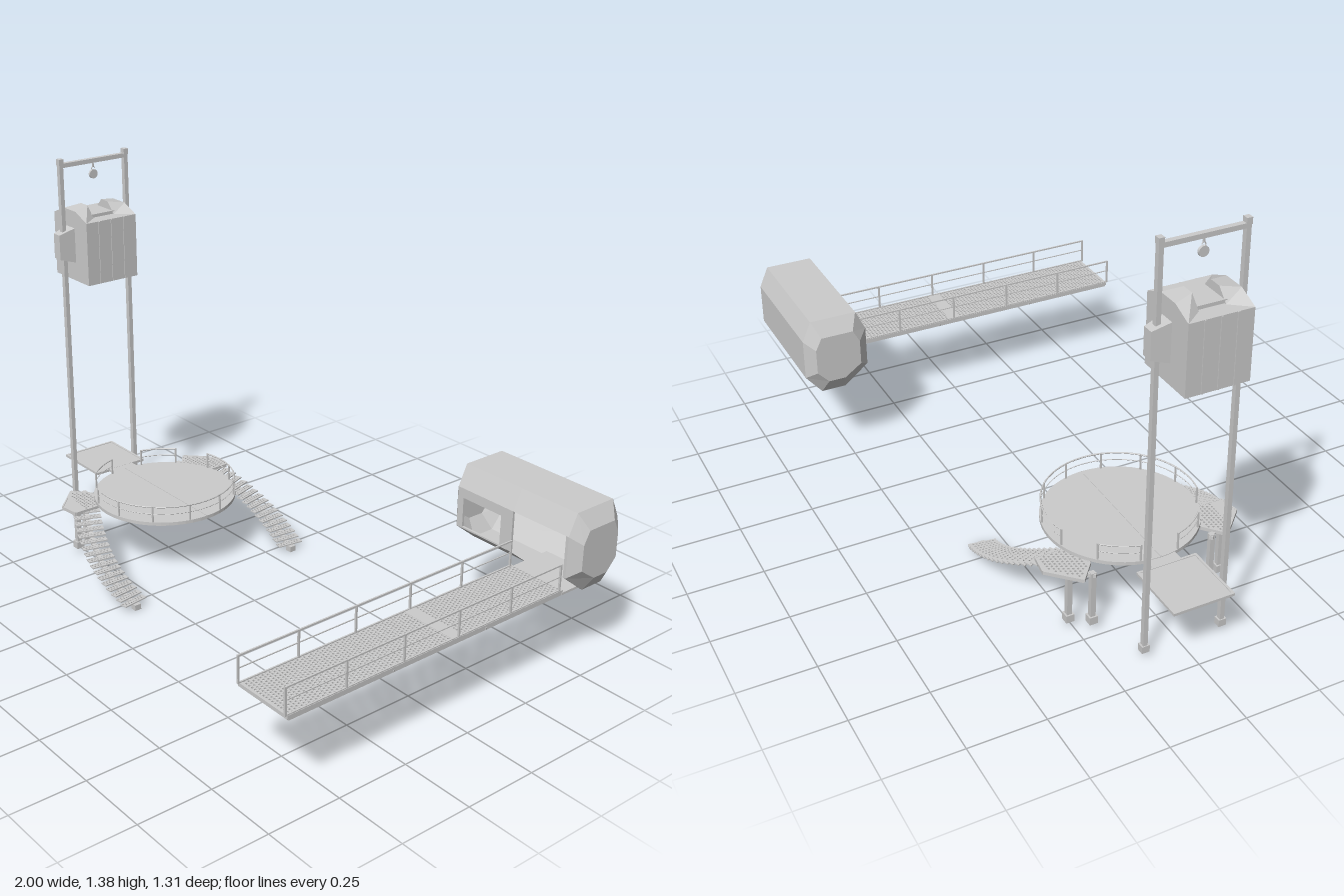
import * as THREE from 'three';

const mat = new THREE.MeshStandardMaterial({ color: 0xcccccc, flatShading: true, side: THREE.DoubleSide });
const V = (x, y, z) => new THREE.Vector3(x, y, z);
const CZ = 0.007; // mirror plane of the lift and round deck

function add(parent, name, geo, x = 0, y = 0, z = 0) {
  const m = new THREE.Mesh(geo, mat);
  m.name = name;
  m.position.set(x, y, z);
  parent.add(m);
  return m;
}
const box = (p, name, w, h, d, x, y, z) => add(p, name, new THREE.BoxGeometry(w, h, d), x, y, z);

// Square bar between two points
function bar(p, name, a, b, t, h = t) {
  const m = box(p, name, t, h, a.distanceTo(b), 0, 0, 0);
  m.position.copy(a).add(b).multiplyScalar(0.5);
  m.lookAt(b);
  return m;
}
function group(parent, name) {
  const g = new THREE.Group();
  g.name = name;
  parent.add(g);
  return g;
}

// Horizontal perforated sheet from a convex outline of [x, z] points
function perforated(pts, pitch, hole, thick) {
  const shape = new THREE.Shape(pts.map(([x, z]) => new THREE.Vector2(x, z)));
  const xs = pts.map(p => p[0]), zs = pts.map(p => p[1]);
  const sign = THREE.ShapeUtils.area(shape.getPoints()) > 0 ? 1 : -1;
  const inside = (x, z) => pts.every(([ax, az], i) => {
    const [bx, bz] = pts[(i + 1) % pts.length];
    const cross = (bx - ax) * (z - az) - (bz - az) * (x - ax);
    return sign * cross / Math.hypot(bx - ax, bz - az) > pitch * 0.55;
  });
  const h = hole / 2;
  let row = 0;
  for (let z = Math.min(...zs) + pitch * 0.6; z < Math.max(...zs); z += pitch, row++)
    for (let x = Math.min(...xs) + pitch * (row % 2 ? 1.1 : 0.6); x < Math.max(...xs); x += pitch)
      if (inside(x, z)) shape.holes.push(new THREE.Path([
        new THREE.Vector2(x - h, z - h), new THREE.Vector2(x - h, z + h),
        new THREE.Vector2(x + h, z + h), new THREE.Vector2(x + h, z - h)]));
  return new THREE.ExtrudeGeometry(shape, { depth: thick, bevelEnabled: false }).rotateX(Math.PI / 2);
}
const rect = (x0, x1, z0, z1) => [[x0, z0], [x1, z0], [x1, z1], [x0, z1]];

function makeLift(root) {
  const g = group(root, 'liftTower');
  g.position.set(-0.893, 0, CZ);
  for (const s of [-1, 1]) {
    box(g, 'post', 0.017, 1.355, 0.015, 0, 0.6975, s * 0.133);
    box(g, 'postFoot', 0.024, 0.024, 0.026, 0, 0.032, s * 0.133);
    box(g, 'postCap', 0.02, 0.02, 0.018, 0, 1.365, s * 0.133);
  }
  box(g, 'crossbeam', 0.017, 0.015, 0.26, 0, 1.352, 0);
  // Hook and pulley
  box(g, 'hookLink', 0.005, 0.018, 0.005, 0, 1.338, 0);
  add(g, 'hook', new THREE.TorusGeometry(0.006, 0.0018, 6, 12, 4.5).rotateY(Math.PI / 2), 0, 1.324, 0);
  add(g, 'pulley', new THREE.CylinderGeometry(0.016, 0.016, 0.008, 20).rotateZ(Math.PI / 2), 0, 1.304, 0);

  // Cabin with door strips, roof ridges and guide shoes
  const c = group(g, 'liftCabin');
  box(c, 'cabinBody', 0.208, 0.224, 0.204, 0, 1.052, 0);
  box(c, 'roofPlate', 0.1, 0.012, 0.1, 0, 1.169, 0);
  for (const z of [-0.051, 0, 0.051]) {
    box(c, 'doorStrip', 0.006, 0.222, 0.005, 0.104, 1.052, z);
    box(c, 'doorStrip', 0.006, 0.222, 0.005, -0.104, 1.052, z);
  }
  for (const s of [-1, 1]) {
    const ridge = new THREE.Shape([[-0.104, 0], [-0.037, 0.028], [0.037, 0.028], [0.104, 0]].map(p => new THREE.Vector2(...p)));
    const geo = new THREE.ExtrudeGeometry(ridge, { depth: 0.06, bevelEnabled: false });
    const p = geo.attributes.position;
    for (let i = 0; i < p.count; i++) { // inner end is higher and narrower
      const inner = s > 0 ? p.getZ(i) < 0.03 : p.getZ(i) > 0.03;
      if (inner) { p.setX(i, p.getX(i) * 0.55); if (p.getY(i) > 0.01) p.setY(i, 0.038); }
    }
    geo.computeVertexNormals();
    add(c, 'roofRidge', geo, 0, 1.164, s > 0 ? 0.042 : -0.102);
    const shoe = new THREE.CylinderGeometry(0.044 * Math.SQRT2, 0.062 * Math.SQRT2, 0.058, 4, 1)
      .rotateY(Math.PI / 4).rotateX(s * Math.PI / 2).scale(0.42, 1, 1);
    add(c, 'guideShoe', shoe, 0, 1.069, s * 0.131);
  }

  // Lower landing plate with its frame and bridge
  box(g, 'landingPlate', 0.2, 0.005, 0.19, 0, 0.219, 0);
  for (const s of [-1, 1]) {
    box(g, 'landingFrame', 0.213, 0.009, 0.008, 0, 0.219, s * 0.099);
    box(g, 'landingFrame', 0.008, 0.009, 0.2, s * 0.103, 0.219, 0);
  }
  box(g, 'bridgePlate', 0.06, 0.008, 0.1, 0.13, 0.219, 0);
}

function makeDeck(root) {
  const g = group(root, 'roundDeck');
  g.position.set(-0.505, 0, CZ);
  add(g, 'deckPlate', new THREE.CylinderGeometry(0.252, 0.252, 0.012, 56), 0, 0.219, 0);
  box(g, 'deckSeam', 0.5, 0.003, 0.004, 0, 0.225, 0);
  // Railings: one long arc and two short ones, posts every 30 degrees
  const R = 0.248, rad = THREE.MathUtils.degToRad;
  for (const [from, to] of [[-105, 105], [135, 165], [195, 225]]) {
    for (const y of [0.281, 0.255])
      add(g, 'handrail', new THREE.TorusGeometry(R, y > 0.27 ? 0.0028 : 0.0016, 6, Math.ceil((to - from) / 5), rad(to - from))
        .rotateZ(rad(from)).rotateX(Math.PI / 2), 0, y, 0);
    for (let a = from; a <= to; a += 30)
      box(g, 'railPost', 0.005, 0.06, 0.005, R * Math.cos(rad(a)), 0.253, R * Math.sin(rad(a)));
  }
}

function makeStair(root, s) {
  const g = group(root, s > 0 ? 'frontStair' : 'backStair');
  const P = (x, y, z) => V(x, y, CZ + s * z);
  // Landing with two legs
  const outline = [[-0.735, 0.25], [-0.645, 0.34], [-0.575, 0.33], [-0.575, 0.235], [-0.67, 0.195]];
  add(g, 'landing', perforated(outline.map(([x, z]) => [x, CZ + s * z]), 0.013, 0.007, 0.006), 0, 0.213, 0);
  outline.forEach(([x, z], i) => {
    const [bx, bz] = outline[(i + 1) % outline.length];
    bar(g, 'landingEdge', P(x, 0.208, z), P(bx, 0.208, bz), 0.005, 0.012);
  });
  for (const [x, z] of [[-0.71, 0.208], [-0.67, 0.267]]) {
    bar(g, 'leg', P(x, 0.02, z), P(x, 0.208, z), 0.017);
    const f = P(x, 0.034, z);
    box(g, 'legFoot', 0.028, 0.026, 0.028, f.x, f.y, f.z);
  }
  bar(g, 'legBrace', P(-0.72, 0.2, 0.2), P(-0.62, 0.2, 0.31), 0.012);
  // Curved centre spine carrying the perforated treads
  const path = new THREE.CatmullRomCurve3([
    P(-0.59, 0.198, 0.28), P(-0.49, 0.143, 0.322), P(-0.39, 0.092, 0.346), P(-0.29, 0.045, 0.349), P(-0.205, 0.008, 0.338)]);
  const steps = 17, pts = path.getSpacedPoints(steps);
  const tread = perforated(rect(-0.047, 0.047, -0.013, 0.013), 0.011, 0.006, 0.004);
  for (let i = 0; i < steps; i++) {
    const a = pts[i], b = pts[i + 1];
    bar(g, 'spine', a, b, 0.016, 0.013);
    const heading = Math.atan2(b.x - a.x, b.z - a.z);
    const mid = a.clone().add(b).multiplyScalar(0.5);
    add(g, 'tread', tread, mid.x, mid.y + 0.013, mid.z).rotation.y = heading;
    box(g, 'treadBracket', 0.016, 0.014, 0.014, mid.x, mid.y + 0.004, mid.z).rotation.y = heading;
  }
  const e = pts[steps];
  box(g, 'spineFoot', 0.024, 0.02, 0.024, e.x, 0.01, e.z);
}

function makeWalkway(root) {
  const g = group(root, 'walkway');
  const x0 = 0.742, x1 = 0.952, z0 = -0.44, z1 = 0.645;
  for (const [a, b] of [[z0, -0.012], [0.028, z1]])
    add(g, 'walkwayGrating', perforated(rect(x0, x1, a, b), 0.0125, 0.007, 0.005), 0, 0.302, 0);
  box(g, 'jointPlate', x1 - x0, 0.008, 0.042, 0.847, 0.299, 0.008);
  box(g, 'endBeam', x1 - x0, 0.012, 0.008, 0.847, 0.296, z1);
  for (const x of [x0 + 0.004, x1 - 0.004]) {
    box(g, 'sideBeam', 0.008, 0.014, z1 - z0, x, 0.293, (z0 + z1) / 2);
    for (const [y, t] of [[0.39, 0.005], [0.35, 0.003], [0.303, 0.005]])
      box(g, 'handrail', t, t, 1.084, x, y, 0.113);
    for (let i = 0; i < 6; i++) box(g, 'railPost', 0.006, 0.09, 0.006, x, 0.347, 0.653 - i * 0.216);
  }
  // Underside cross beams and diagonals
  for (let i = 0; i < 5; i++) box(g, 'crossBeam', x1 - x0, 0.008, 0.008, 0.847, 0.29, 0.437 - i * 0.216);
  for (const z of [-0.1, 0.27]) bar(g, 'diagonalBrace', V(x0, 0.29, z + 0.05), V(x1, 0.29, z - 0.01), 0.014, 0.008);
}

function makePod(root) {
  const g = group(root, 'pod');
  // Cross-section as [z, y], from the front top edge downwards and around
  const sec = [[-0.463, 0.56], [-0.43, 0.49], [-0.43, 0.35], [-0.515, 0.283], [-0.6, 0.283], [-0.655, 0.35], [-0.655, 0.49], [-0.624, 0.56]];
  const cz = -0.543, cy = 0.42, n = sec.length;
  const ring = (x, k, ky) => sec.map(([z, y]) => V(x, cy + (y - cy) * ky, cz + (z - cz) * k));
  const rings = [ring(0.475, 0.7, 0.62), ring(0.508, 1, 1), ring(0.742, 1, 1), ring(0.955, 1, 1), ring(0.965, 1, 1), ring(0.998, 0.7, 0.62)];
  const open = { 1: [1], 2: [1, 2] }; // window panel and doorway
  const pos = [], tri = (...p) => p.forEach(v => pos.push(v.x, v.y, v.z));
  for (let r = 0; r < rings.length - 1; r++)
    for (let i = 0; i < n; i++) {
      if (open[r]?.includes(i)) continue;
      const j = (i + 1) % n, A = rings[r], B = rings[r + 1];
      tri(A[i], A[j], B[j], A[i], B[j], B[i]);
    }
  const L = rings[0], E = rings[5];
  for (let i = 0; i < n; i++) {
    const j = (i + 1) % n;
    tri(V(0.475, cy, cz), L[j], L[i]);
    tri(V(0.998, cy, cz), E[i], E[j]);
  }
  const shell = new THREE.BufferGeometry();
  shell.setAttribute('position', new THREE.Float32BufferAttribute(pos, 3));
  shell.computeVertexNormals();
  add(g, 'podShell', shell);
  // Front panel with window opening
  const corners = (a, b, c, d) => [[a, c], [b, c], [b, d], [a, d]].map(p => new THREE.Vector2(...p));
  const panel = new THREE.Shape(corners(0.508, 0.742, 0.35, 0.49));
  panel.holes.push(new THREE.Path(corners(0.532, 0.694, 0.355, 0.457)));
  add(g, 'windowPanel', new THREE.ExtrudeGeometry(panel, { depth: 0.008, bevelEnabled: false }), 0, 0, -0.438);
  box(g, 'podFloor', 0.213, 0.008, 0.17, 0.848, 0.291, -0.52);
}

export function createModel() {
  const root = new THREE.Group();
  root.name = 'station';
  makeLift(root);
  makeDeck(root);
  for (const s of [1, -1]) makeStair(root, s);
  makeWalkway(root);
  makePod(root);
  return root;
}
